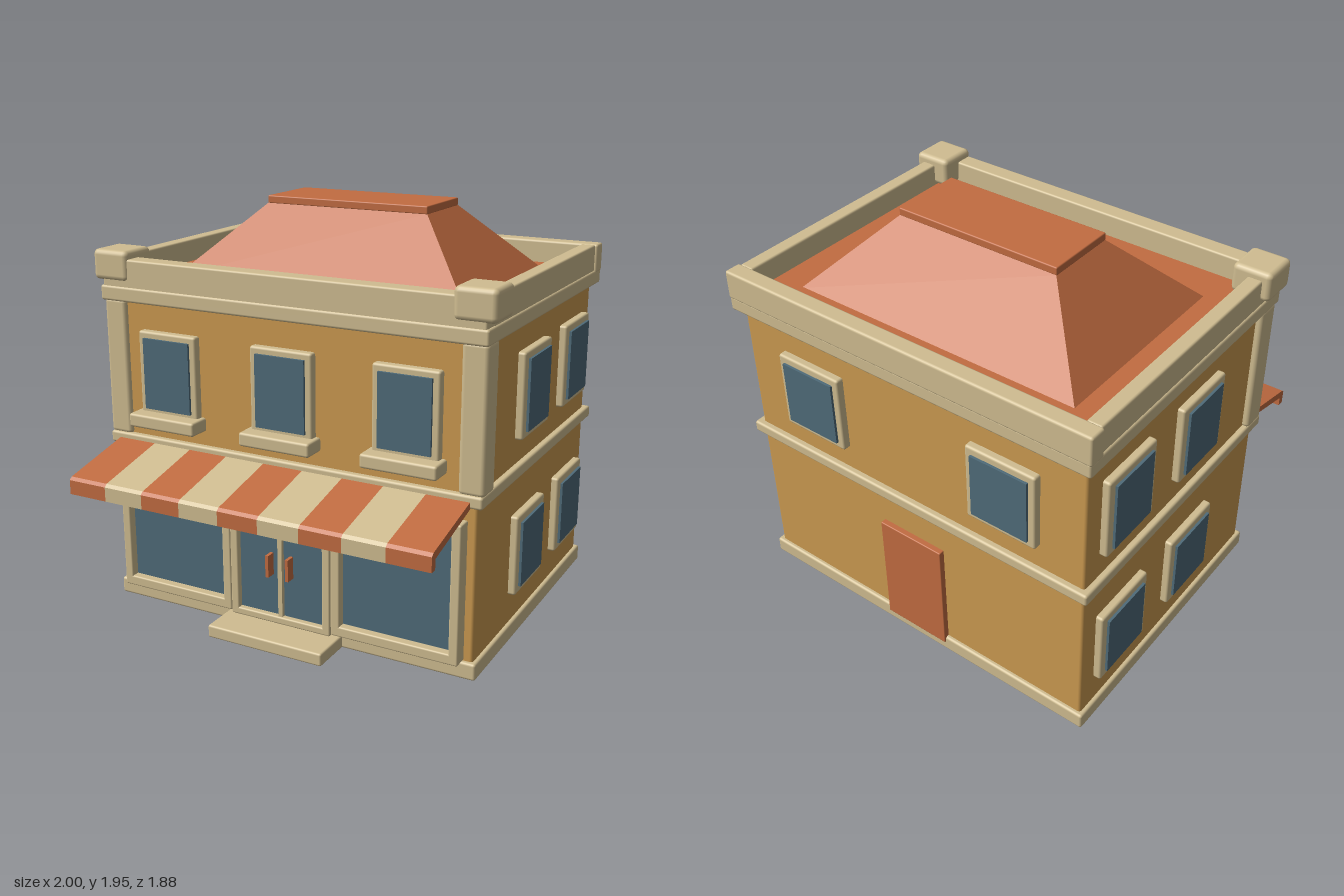
import * as THREE from 'three';
import { RoundedBoxGeometry } from 'three/addons/geometries/RoundedBoxGeometry.js';

const material = (name, color) => {
  const m = new THREE.MeshStandardMaterial({ color });
  m.name = name;
  return m;
};

export function createModel() {
  const wall = material('ochre wall', 0xcc9a50);
  const trim = material('cream trim', 0xd0bd91);
  const glass = material('blue glass', 0x4f6b79);
  const tile = material('terracotta', 0xc26c41);

  const model = new THREE.Group();
  model.name = 'shopBuilding';

  // Box given by its extents; a radius rounds its edges
  function box(parent, name, mat, [x0, x1], [y0, y1], [z0, z1], r = 0) {
    const w = x1 - x0, h = y1 - y0, d = z1 - z0;
    const geo = r ? new RoundedBoxGeometry(w, h, d, 2, r) : new THREE.BoxGeometry(w, h, d);
    const mesh = new THREE.Mesh(geo, mat);
    mesh.name = name;
    mesh.position.set((x0 + x1) / 2, (y0 + y1) / 2, (z0 + z1) / 2);
    parent.add(mesh);
    return mesh;
  }

  function group(name) {
    const g = new THREE.Group();
    g.name = name;
    model.add(g);
    return g;
  }

  // Walls and horizontal bands
  box(model, 'lowerWalls', wall, [-0.93, 0.93], [0.04, 0.83], [-0.89, 0.535], 0.015);
  box(model, 'upperWalls', wall, [-0.93, 0.93], [0.82, 1.54], [-0.89, 0.535], 0.015);
  box(model, 'plinth', trim, [-0.95, 0.95], [0, 0.08], [-0.91, 0.555], 0.012);
  box(model, 'beltCourse', trim, [-0.96, 0.96], [0.8, 0.857], [-0.92, 0.563], 0.012);
  box(model, 'cornice', trim, [-0.967, 0.967], [1.5, 1.572], [-0.933, 0.573], 0.012);
  box(model, 'doorstep', trim, [-0.3, 0.3], [0, 0.062], [0.5, 0.757], 0.01);

  // Parapet
  box(model, 'frontParapet', trim, [-0.955, 0.955], [1.56, 1.7], [0.477, 0.567], 0.01);
  box(model, 'backParapet', trim, [-0.97, 0.97], [1.56, 1.7], [-0.935, -0.85], 0.012);
  for (const s of [-1, 1]) {
    const span = (a, b) => (s > 0 ? [a, b] : [-b, -a]);
    box(model, 'sideParapet', trim, span(0.885, 0.958), [1.56, 1.698], [-0.855, 0.5], 0.01);
    box(model, 'cornerPost', trim, span(0.807, 1), [1.595, 1.738], [0.383, 0.577], 0.025);
    box(model, 'pilaster', trim, span(0.843, 0.963), [0.85, 1.51], [0.433, 0.555], 0.02);
  }

  // Roof: flat deck, hipped slopes and cap
  box(model, 'roofDeck', tile, [-0.9, 0.9], [1.54, 1.59], [-0.87, 0.49]);
  const hip = new THREE.BoxGeometry(1.48, 0.33, 1.0);
  const p = hip.attributes.position;
  for (let i = 0; i < p.count; i++) {
    if (p.getY(i) > 0) p.setXYZ(i, Math.sign(p.getX(i)) * 0.415, p.getY(i), Math.sign(p.getZ(i)) * 0.175);
  }
  hip.computeVertexNormals();
  const slopes = new THREE.Mesh(hip, tile);
  slopes.name = 'roofSlopes';
  slopes.position.set(0, 1.75, -0.213);
  model.add(slopes);
  box(model, 'roofCap', tile, [-0.418, 0.418], [1.912, 1.95], [-0.389, -0.035], 0.006);

  // Window facing local +z, its back on the wall
  function makeWindow(name, x, y, z, turn, w, h, gw, gh) {
    const g = group(name);
    box(g, 'windowFrame', trim, [-w / 2, w / 2], [-h / 2, h / 2], [-0.02, 0.036], 0.012);
    box(g, 'windowPane', glass, [-gw / 2, gw / 2], [-gh / 2, gh / 2], [0.03, 0.048]);
    g.position.set(x, y, z);
    g.rotation.y = turn;
    return g;
  }
  for (const x of [-0.605, 0, 0.605]) {
    makeWindow('frontWindow', x, 1.175, 0.535, 0, 0.315, 0.4, 0.25, 0.338);
    box(model, 'windowSill', trim, [x - 0.18, x + 0.18], [0.925, 0.99], [0.52, 0.643], 0.012);
  }
  for (const s of [-1, 1]) {
    for (const z of [-0.055, -0.615]) {
      makeWindow('upperSideWindow', s * 0.93, 1.175, z, s * Math.PI / 2, 0.347, 0.4, 0.273, 0.335);
      makeWindow('lowerSideWindow', s * 0.93, 0.42, z, s * Math.PI / 2, 0.355, 0.386, 0.283, 0.314);
    }
    makeWindow('backWindow', s * 0.528, 1.17, -0.89, Math.PI, 0.355, 0.385, 0.288, 0.315);
  }

  // Four bars around an opening
  function surround(g, [x0, x1], [y0, y1], zs, t, bottom) {
    box(g, 'leftBar', trim, [x0, x0 + t], [y0, y1], zs, 0.008);
    box(g, 'rightBar', trim, [x1 - t, x1], [y0, y1], zs, 0.008);
    box(g, 'bottomBar', trim, [x0, x1], [y0, y0 + bottom], zs, 0.008);
    box(g, 'topBar', trim, [x0, x1], [y1 - t, y1], zs, 0.008);
  }

  // Shop windows
  for (const s of [-1, 1]) {
    const xs = s > 0 ? [0.265, 0.887] : [-0.887, -0.265];
    const g = group('displayWindow');
    surround(g, xs, [0.08, 0.735], [0.52, 0.605], 0.045, 0.05);
    box(g, 'displayPane', glass, [xs[0] + 0.02, xs[1] - 0.02], [0.09, 0.72], [0.52, 0.565]);
  }

  // Double entrance door
  const door = group('entrance');
  surround(door, [-0.263, 0.263], [0.07, 0.735], [0.52, 0.608], 0.041, 0.036);
  box(door, 'doorPane', glass, [-0.24, 0.24], [0.08, 0.72], [0.52, 0.58]);
  box(door, 'centreMullion', trim, [-0.011, 0.011], [0.09, 0.72], [0.52, 0.6]);
  for (const x of [-0.052, 0.052]) {
    box(door, 'doorHandle', tile, [x - 0.008, x + 0.008], [0.305, 0.412], [0.57, 0.628]);
  }

  // Back door
  box(model, 'backDoor', tile, [-0.175, 0.175], [0.05, 0.635], [-0.918, -0.88], 0.005);

  // Striped awning, one extruded profile per stripe
  const profile = new THREE.Shape([
    [0.55, 0.801], [0.91, 0.714], [0.91, 0.667], [0.945, 0.667],
    [0.945, 0.735], [0.93, 0.748], [0.55, 0.833],
  ].map(([z, y]) => new THREE.Vector2(-z, y)));
  const stripe = 1.81 / 9;
  const awning = group('awning');
  for (let i = 0; i < 9; i++) {
    const geo = new THREE.ExtrudeGeometry(profile, { depth: stripe, bevelEnabled: false });
    geo.rotateY(Math.PI / 2);
    const mesh = new THREE.Mesh(geo, i % 2 ? trim : tile);
    mesh.name = 'awningStripe';
    mesh.position.x = -0.905 + i * stripe;
    awning.add(mesh);
  }

  return model;
}
